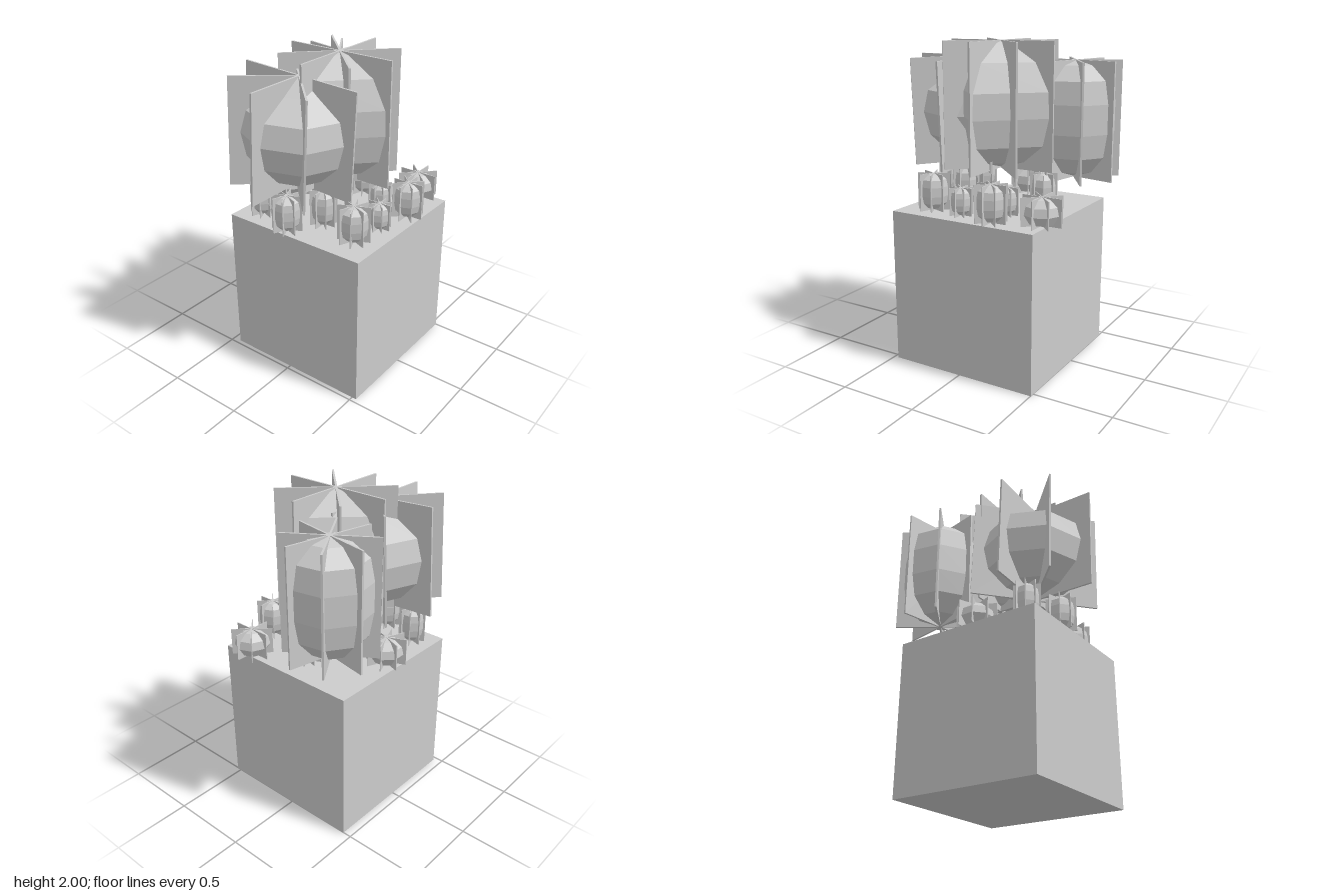
import * as THREE from 'three';

const mat = new THREE.MeshStandardMaterial({ color: 0xcccccc, flatShading: true });

function mesh(name, geometry) {
  const m = new THREE.Mesh(geometry, mat);
  m.name = name;
  return m;
}

// Body profiles as [radius fraction, height fraction], bottom to top
const PROFILES = {
  oval: [[0, 0], [0.5, 0.06], [0.88, 0.2], [1, 0.42], [0.98, 0.62], [0.72, 0.84], [0.2, 0.98], [0, 1]],
  pear: [[0, 0], [0.55, 0.1], [0.9, 0.28], [1, 0.5], [0.9, 0.7], [0.42, 0.86], [0.12, 0.97], [0, 1]],
  column: [[0, 0], [0.55, 0.06], [0.9, 0.2], [1, 0.4], [1, 0.65], [0.9, 0.84], [0.5, 0.96], [0, 1]],
  ball: [[0, 0], [0.7, 0.08], [1, 0.4], [0.9, 0.7], [0.5, 0.93], [0, 1]],
};

// One cactus: a faceted body crossed by thin upright spine cards
function cactus({ name, pos, body, wing, height, profile, sides = 8, turn = 0, tilt = 0, thick = 0.012 }) {
  const g = new THREE.Group();
  g.name = name;
  const pts = PROFILES[profile].map(([r, y]) => new THREE.Vector2(r * body, (y - 0.5) * height));
  g.add(mesh('cactusBody', new THREE.LatheGeometry(pts, sides)));
  for (let i = 0; i < 4; i++) {
    const card = mesh('spineCard', new THREE.BoxGeometry(wing * 2, height, thick));
    card.rotation.y = (i * Math.PI) / 4;
    g.add(card);
  }
  g.position.set(pos[0], pos[1] + height / 2, pos[2]);
  g.rotation.set(0, turn, tilt);
  return g;
}

export function createModel() {
  const root = new THREE.Group();
  root.name = 'pottedCacti';

  // Cube planter
  const pot = mesh('planter', new THREE.BoxGeometry(0.975, 0.98, 0.975));
  pot.position.set(0.042, 0.49, -0.015);
  root.add(pot);

  // Three large cacti
  root.add(
    cactus({ name: 'middleCactus', pos: [0.04, 1.22, -0.01], body: 0.34, wing: 0.36, height: 0.78, profile: 'oval', sides: 4 }),
    cactus({ name: 'frontCactus', pos: [-0.07, 1.22, 0.25], body: 0.34, wing: 0.405, height: 0.68, profile: 'pear', tilt: -0.05 }),
    cactus({ name: 'backCactus', pos: [-0.24, 1.15, -0.38], body: 0.25, wing: 0.285, height: 0.73, profile: 'column', turn: -0.2 }),
  );

  // Small cacti on the soil: x, z, radius, height, profile
  const small = [
    [0.34, -0.46, 0.12, 0.17, 'ball'],
    [-0.35, 0.0, 0.12, 0.17, 'ball'],
    [0.44, -0.18, 0.095, 0.23, 'column'],
    [0.36, 0.28, 0.095, 0.23, 'column'],
    [0.39, 0.06, 0.07, 0.17, 'column'],
    [-0.04, 0.41, 0.09, 0.23, 'column'],
    [0.09, 0.22, 0.08, 0.23, 'column'],
    [-0.3, 0.33, 0.08, 0.23, 'column'],
    [0.24, -0.17, 0.07, 0.17, 'column'],
    [0.02, -0.3, 0.08, 0.23, 'column'],
  ];
  small.forEach(([x, z, r, height, profile], i) => {
    root.add(cactus({
      name: 'smallCactus' + (i + 1), pos: [x, 0.98, z], body: r * 0.92, wing: r * 1.05,
      height, profile, turn: i * 0.4, thick: 0.005,
    }));
  });
  return root;
}
